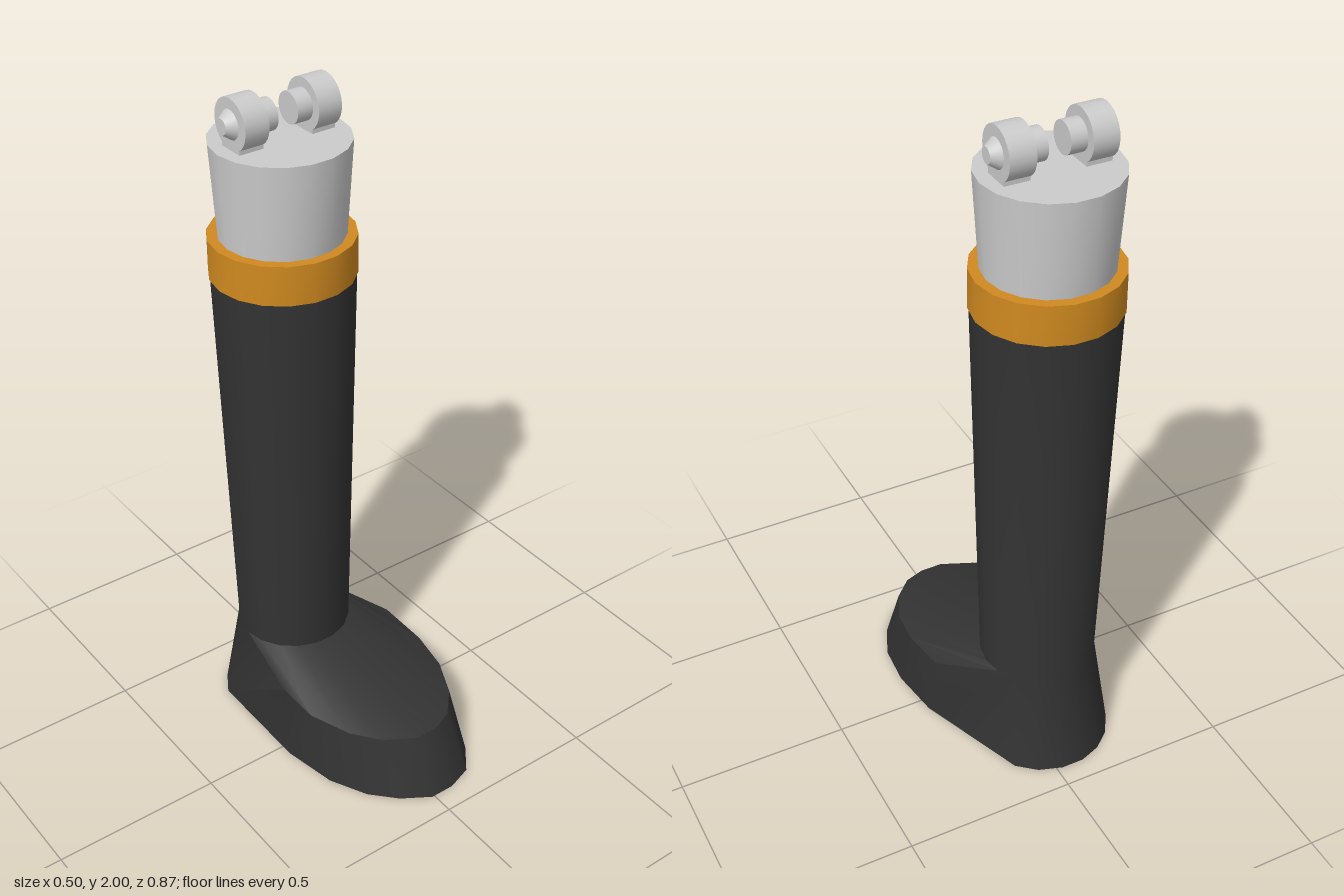
import * as THREE from 'three';
import { toCreasedNormals } from 'three/addons/utils/BufferGeometryUtils.js';

const SIDES = 18;
const grey = new THREE.MeshStandardMaterial({ color: 0xcccccc });
const dark = new THREE.MeshStandardMaterial({ color: 0x333333 });
const orange = new THREE.MeshStandardMaterial({ color: 0xd08a20 });

// Round cross-section with a flat facing the front
function circleRing(cx, y, cz, r) {
  return Array.from({ length: SIDES }, (_, i) => {
    const a = THREE.MathUtils.degToRad(10 + 20 * i);
    return [cx + r * Math.sin(a), y, cz + r * Math.cos(a)];
  });
}

// Skin stacked rings from bottom to top and close both ends
function loft(rings) {
  const pos = [];
  const tri = (a, b, c) => {
    const [p, q, r] = [a, b, c].map((v) => new THREE.Vector3(...v));
    if (q.sub(p).cross(r.sub(p)).length() > 1e-9) pos.push(...a, ...b, ...c);
  };
  for (let k = 0; k < rings.length - 1; k++) {
    for (let i = 0; i < SIDES; i++) {
      const j = (i + 1) % SIDES, lo = rings[k], hi = rings[k + 1];
      tri(lo[i], lo[j], hi[j]);
      tri(lo[i], hi[j], hi[i]);
    }
  }
  const bottom = rings[0], top = rings[rings.length - 1];
  for (let i = 1; i < SIDES - 1; i++) {
    tri(bottom[0], bottom[i + 1], bottom[i]);
    tri(top[0], top[i], top[i + 1]);
  }
  const geo = new THREE.BufferGeometry();
  geo.setAttribute('position', new THREE.Float32BufferAttribute(pos, 3));
  return toCreasedNormals(geo, 0.55);
}

function addMesh(parent, name, geo, mat, x = 0, y = 0, z = 0) {
  const mesh = new THREE.Mesh(geo, mat);
  mesh.name = name;
  mesh.position.set(x, y, z);
  parent.add(mesh);
  return mesh;
}

export function createModel() {
  const model = new THREE.Group();
  model.name = 'lowerLeg';
  const cx = -0.049, cz = -0.2235;

  // Boot: sole outline, instep edge (front only), ankle, top of shaft
  const sole = [
    [0.067, 0.432], [0.143, 0.406], [0.2, 0.333], [0.24, 0.24], [0.25, 0.115], [0.228, -0.04],
    [0.104, -0.367], [0.05, -0.413], [-0.018, -0.436], [-0.085, -0.436], [-0.148, -0.413], [-0.2, -0.37],
    [-0.238, -0.307], [-0.241, 0.035], [-0.21, 0.2], [-0.155, 0.31], [-0.088, 0.381], [-0.007, 0.432],
  ].map(([x, z]) => [x, 0, z]);
  const ankle = circleRing(cx, 0.3, -0.209, 0.168);
  const instep = ankle.slice();
  const instepRight = [[0.06, 0.357], [0.122, 0.333], [0.182, 0.268], [0.226, 0.166], [0.24, 0.05], [0.228, -0.1]];
  const instepLeft = [[-0.232, 0.0], [-0.222, 0.125], [-0.166, 0.24], [-0.1, 0.31], [-0.007, 0.358]];
  const lift = ([x, z]) => [x, 0.18 + (0.358 - z) * 0.13, z];
  instepRight.forEach((p, i) => { instep[i] = lift(p); });
  instepLeft.forEach((p, i) => { instep[13 + i] = lift(p); });
  addMesh(model, 'boot', loft([sole, instep, ankle, circleRing(cx, 1.476, cz, 0.2)]), dark);

  // Cuff around the top of the boot
  addMesh(model, 'cuff', loft([circleRing(cx, 1.475, cz, 0.203), circleRing(cx, 1.59, cz, 0.203)]), orange);

  // Knee stump widening upward
  addMesh(model, 'kneeStump', loft([circleRing(cx, 1.585, cz, 0.174), circleRing(cx, 1.86, cz, 0.191)]), grey);

  // Mirrored pair of hinge lugs with pins
  for (const side of [-1, 1]) {
    const hinge = new THREE.Group();
    hinge.name = side > 0 ? 'leftHinge' : 'rightHinge';
    hinge.position.set(cx, 1.93, cz - 0.003);
    const rod = (name, rOut, rIn, from, to) => {
      const mesh = addMesh(hinge, name, new THREE.CylinderGeometry(rOut, rIn, to - from, 24), grey, side * (from + to) / 2);
      mesh.rotation.z = -side * Math.PI / 2;
    };
    rod('lug', 0.071, 0.071, 0.076, 0.148);
    rod('pin', 0.044, 0.044, 0.03, 0.08);
    rod('pinCap', 0.022, 0.042, 0.146, 0.174);
    addMesh(hinge, 'lugBase', new THREE.BoxGeometry(0.072, 0.06, 0.08), grey, side * 0.112, -0.042);
    model.add(hinge);
  }
  return model;
}
